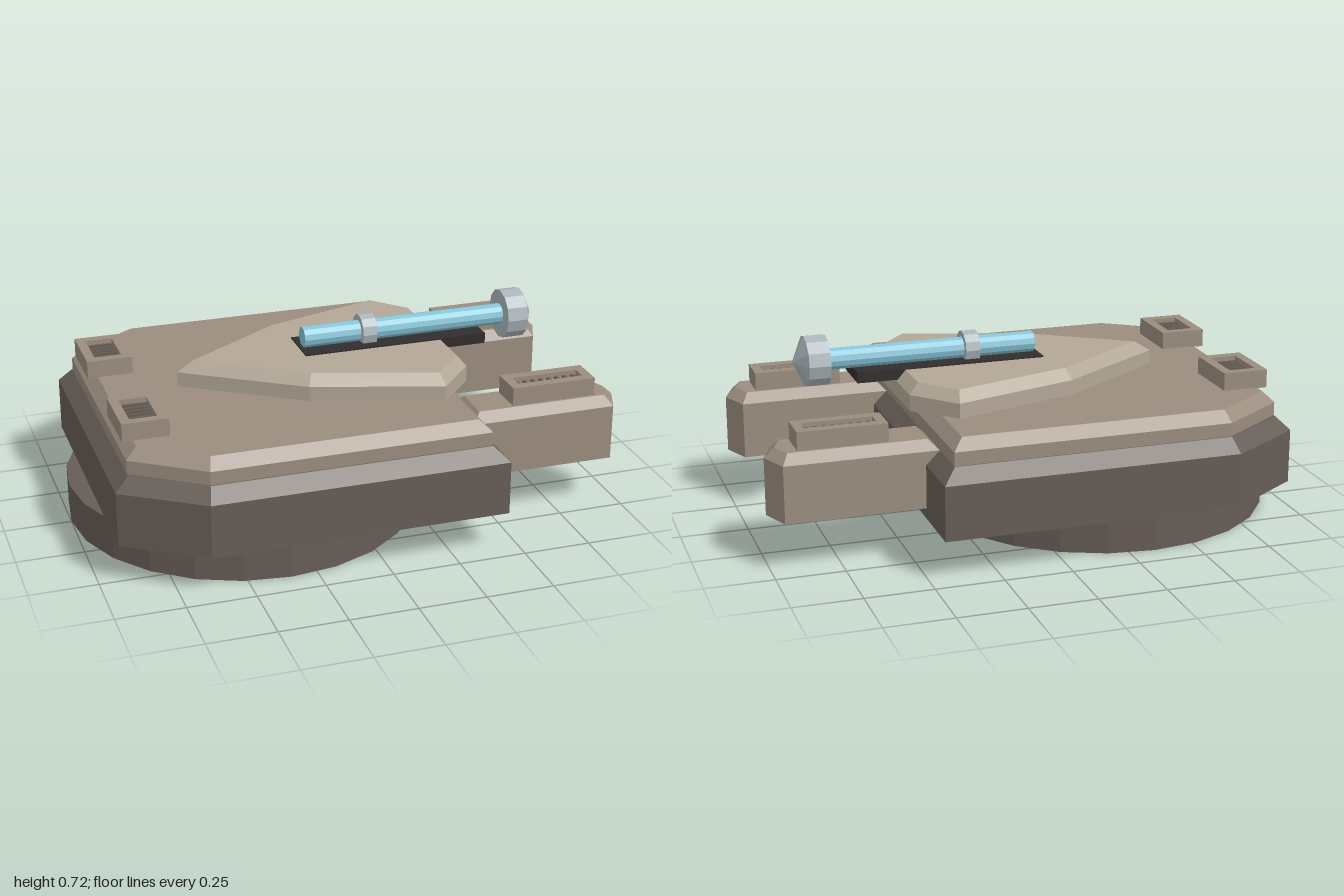
import * as THREE from 'three';

const mat = (color) => new THREE.MeshStandardMaterial({ color, flatShading: true });
const HULL = mat(0x665c55), DECK = mat(0x9b8d7f), PLATE = mat(0xb3a797);
const DARK = mat(0x302d2c), BLUE = mat(0x86c4d8), STEEL = mat(0xaab5ba);

function add(parent, name, geometry, material, x = 0, y = 0, z = 0) {
  const mesh = new THREE.Mesh(geometry, material);
  mesh.name = name;
  mesh.position.set(x, y, z);
  parent.add(mesh);
  return mesh;
}

// Full outline from its +z half, listed from back to front as [x, z]
const mirrored = (half) =>
  [...half, ...half.filter((p) => p[1] > 0).reverse().map(([x, z]) => [x, -z])];

// Moves every edge of a convex outline inwards by d
function inset(outline, d) {
  const n = outline.length;
  const normal = (i) => {
    const a = outline[i % n], b = outline[(i + 1) % n];
    const dx = b[0] - a[0], dz = b[1] - a[1], l = Math.hypot(dx, dz);
    return [dz / l, -dx / l];
  };
  return outline.map(([x, z], i) => {
    const a = normal(i + n - 1), b = normal(i);
    const k = d / (1 + a[0] * b[0] + a[1] * b[1]);
    return [x + k * (a[0] + b[0]), z + k * (a[1] + b[1])];
  });
}

// Slab with upright walls from y0 to y1 and a bevelled rim up to y2
function bevelledSlab(outline, y0, y1, y2, bevel) {
  const n = outline.length, pos = [];
  const ring = (pts, y) => pts.map(([x, z]) => [x, y, z]);
  const rings = [ring(outline, y0), ring(outline, y1), ring(inset(outline, bevel), y2)];
  const tri = (a, b, c) => pos.push(...a, ...b, ...c);
  for (let r = 0; r < 2; r++) {
    for (let i = 0; i < n; i++) {
      const j = (i + 1) % n, lo = rings[r], hi = rings[r + 1];
      tri(lo[i], lo[j], hi[j]);
      tri(lo[i], hi[j], hi[i]);
    }
  }
  for (let i = 1; i < n - 1; i++) {
    tri(rings[2][0], rings[2][i], rings[2][i + 1]);
    tri(rings[0][0], rings[0][i + 1], rings[0][i]);
  }
  const geometry = new THREE.BufferGeometry();
  geometry.setAttribute('position', new THREE.Float32BufferAttribute(pos, 3));
  geometry.computeVertexNormals();
  return geometry;
}

function rectangle(target, w, d) {
  target.moveTo(-w / 2, -d / 2);
  target.lineTo(w / 2, -d / 2);
  target.lineTo(w / 2, d / 2);
  target.lineTo(-w / 2, d / 2);
  target.closePath();
  return target;
}

// Open-topped box, long along x, with a dark recess and cross slats
function vent(name, length, width, height, holeLength, holeWidth, slats) {
  const group = new THREE.Group();
  group.name = name;
  const shape = rectangle(new THREE.Shape(), length, width);
  shape.holes.push(rectangle(new THREE.Path(), holeLength, holeWidth));
  const frame = new THREE.ExtrudeGeometry(shape, { depth: height, bevelEnabled: false });
  frame.rotateX(-Math.PI / 2);
  add(group, 'ventFrame', frame, DECK);
  add(group, 'ventFloor', new THREE.BoxGeometry(holeLength, 0.01, holeWidth), DARK, 0, 0.01, 0);
  const pitch = holeLength / slats;
  for (let i = 0; i < slats; i++) {
    add(group, 'ventSlat', new THREE.BoxGeometry(pitch * 0.4, 0.03, holeWidth), HULL,
      -holeLength / 2 + (i + 0.5) * pitch, height - 0.03, 0);
  }
  return group;
}

// Twelve-sided rod lying along x from x0 to x1
function rod(parent, name, x0, x1, r0, r1, material) {
  const geometry = new THREE.CylinderGeometry(r1, r0, x1 - x0, 12);
  geometry.rotateZ(-Math.PI / 2);
  return add(parent, name, geometry, material, (x0 + x1) / 2, 0, 0);
}

export function createModel() {
  const model = new THREE.Group();
  model.name = 'turret';

  // Round turntable and stacked armour layers
  add(model, 'turntable', new THREE.CylinderGeometry(0.655, 0.655, 0.15, 24), HULL, -0.345, 0.075, 0);
  add(model, 'hull',
    bevelledSlab(mirrored([[-0.93, 0.52], [-0.645, 0.71], [0.45, 0.71]]), 0.15, 0.35, 0.4, 0.05), HULL);
  add(model, 'deck',
    bevelledSlab(mirrored([[-0.88, 0.48], [-0.63, 0.655], [0.4, 0.655]]), 0.395, 0.45, 0.49, 0.04), DECK);
  add(model, 'wedgePlate',
    bevelledSlab(mirrored([[-0.58, 0], [-0.16, 0.28], [0.31, 0.425], [0.45, 0.27]]), 0.485, 0.545, 0.585, 0.035), PLATE);

  // Gun on its dark cradle
  add(model, 'gunCradle', new THREE.BoxGeometry(0.71, 0.04, 0.185), DARK, 0.24, 0.57, 0);
  const gun = new THREE.Group();
  gun.name = 'gun';
  gun.position.y = 0.624;
  rod(gun, 'barrel', -0.1, 0.7, 0.04, 0.04, BLUE);
  rod(gun, 'barrelRing', 0.12, 0.175, 0.063, 0.063, STEEL);
  rod(gun, 'muzzle', 0.69, 0.77, 0.094, 0.094, STEEL);
  rod(gun, 'muzzleTip', 0.77, 0.815, 0.094, 0, STEEL);
  model.add(gun);

  // Front prongs and rear vents on both sides
  const prong = bevelledSlab(mirrored([[0.4, 0.11], [0.955, 0.11], [1, 0]]), 0.19, 0.4, 0.435, 0.035);
  for (const side of [1, -1]) {
    add(model, 'prong', prong, DECK, 0, 0, side * 0.367);
    const front = vent('prongVent', 0.325, 0.13, 0.07, 0.255, 0.055, 8);
    front.position.set(0.733, 0.433, side * 0.367);
    const rear = vent('rearVent', 0.24, 0.17, 0.068, 0.17, 0.1, 6);
    rear.rotation.y = Math.PI / 2;
    rear.position.set(-0.793, 0.488, side * 0.292);
    model.add(front, rear);
  }
  return model;
}
